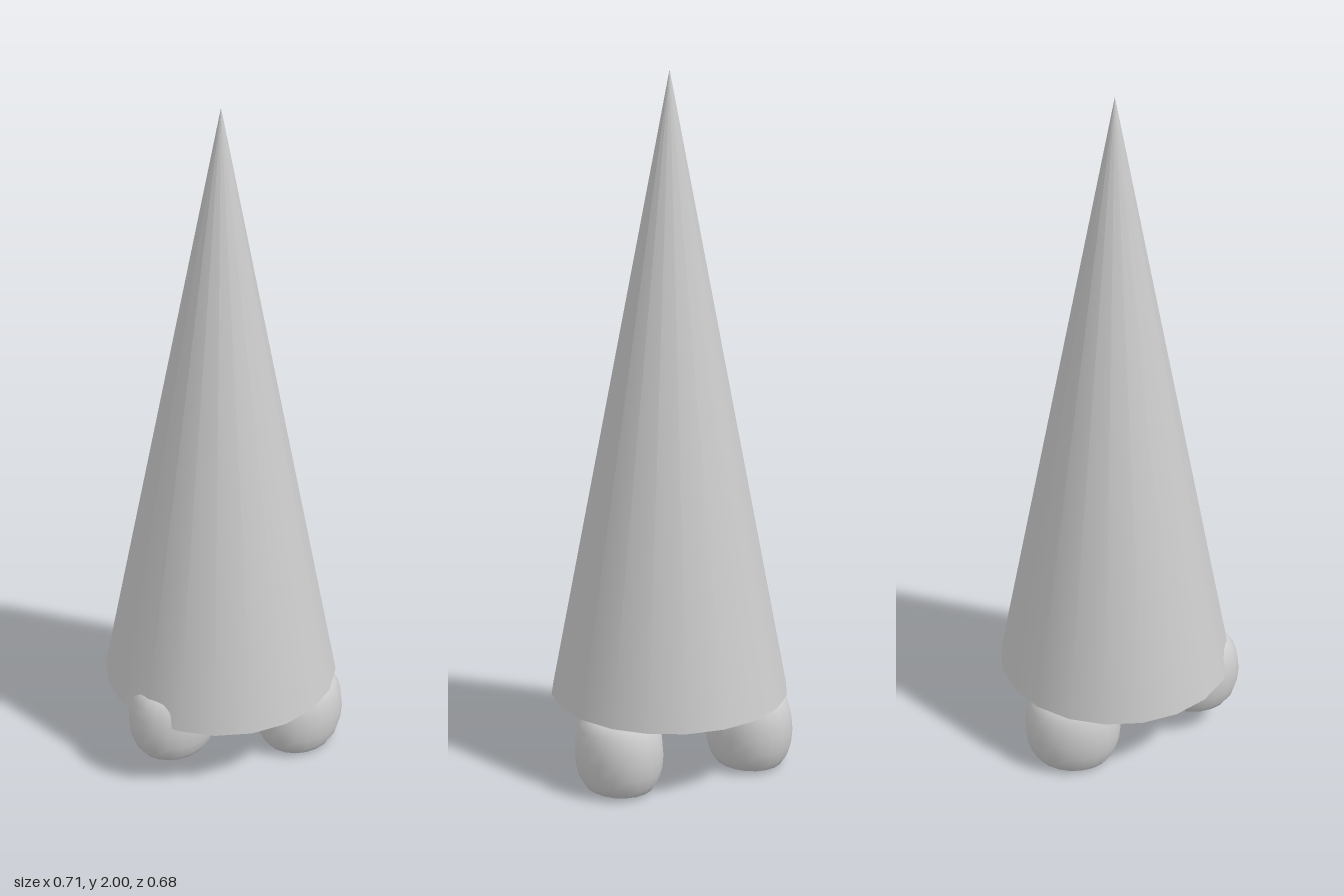
import * as THREE from 'three';

export function createModel() {
  const model = new THREE.Group();
  const material = new THREE.MeshStandardMaterial({ color: 0xcccccc });

  // Tall smooth cone with a closed base
  const body = new THREE.Mesh(new THREE.ConeGeometry(0.342, 1.78, 20), material);
  body.name = 'coneBody';
  body.position.set(0.012, 1.11, 0);
  model.add(body);

  // Ring nozzles: tori laid flat, stretched along y and slightly narrowed in z
  const ring = new THREE.TorusGeometry(0.09, 0.05, 16, 20);
  ring.rotateX(Math.PI / 2);
  ring.scale(1, 0.107 / 0.05, 0.123 / 0.14);
  const places = [
    ['rightNozzle', -0.215, 0.185, 0.005],
    ['frontNozzle', 0.12, 0.107, 0.212],
    ['backNozzle', 0.12, 0.107, -0.203],
  ];
  for (const [name, x, y, z] of places) {
    const nozzle = new THREE.Mesh(ring, material);
    nozzle.name = name;
    nozzle.position.set(x, y, z);
    model.add(nozzle);
  }
  return model;
}
